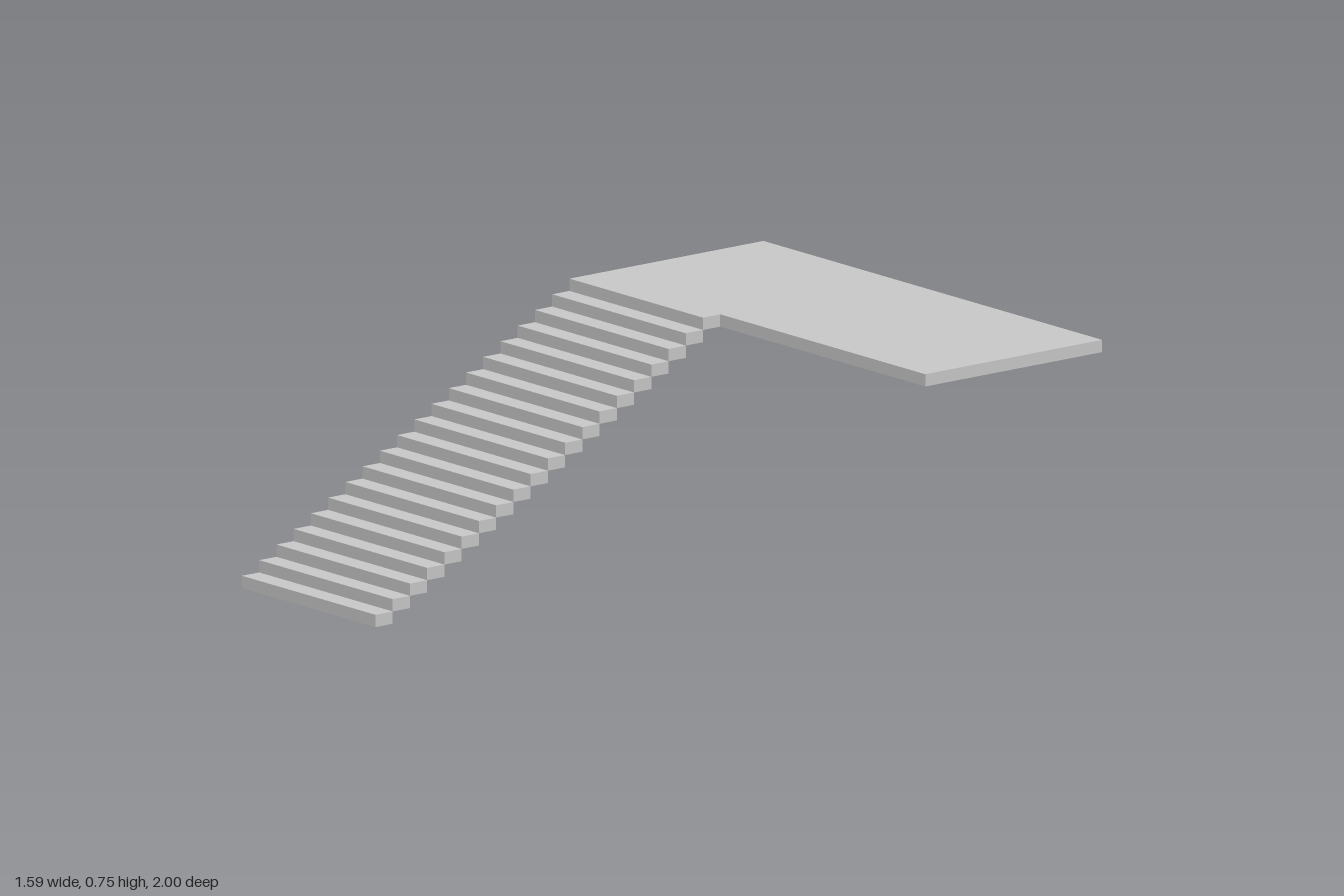
import * as THREE from 'three';

const STEPS = 19;           // separate treads below the landing
const RISE = 0.0376;        // tread thickness equals the rise
const RUN = 0.0661;
const LEFT = -0.796, RIGHT = 0.796, FLIGHT_EDGE = -0.168;

export function createModel() {
  const group = new THREE.Group();
  const material = new THREE.MeshStandardMaterial({ color: 0xcccccc, flatShading: true });

  // Flight of slab treads, climbing towards the back
  const stairs = new THREE.Group();
  stairs.name = 'stairs';
  const width = FLIGHT_EDGE - LEFT;
  const treadGeometry = new THREE.BoxGeometry(width, RISE, RUN);
  for (let i = 0; i < STEPS; i++) {
    const tread = new THREE.Mesh(treadGeometry, material);
    tread.name = `tread${i + 1}`;
    tread.position.set(LEFT + width / 2, (i + 0.5) * RISE, 1 - (i + 0.5) * RUN);
    stairs.add(tread);
  }
  group.add(stairs);

  // L-shaped landing whose short tongue forms the top step (shape y = -z)
  const tongue = STEPS * RUN - 1;
  const front = tongue + RUN;
  const outline = new THREE.Shape([
    [LEFT, tongue], [FLIGHT_EDGE, tongue], [FLIGHT_EDGE, front],
    [RIGHT, front], [RIGHT, 1], [LEFT, 1],
  ].map(([x, y]) => new THREE.Vector2(x, y)));
  const landingGeometry = new THREE.ExtrudeGeometry(outline, { depth: RISE, bevelEnabled: false });
  landingGeometry.rotateX(-Math.PI / 2);
  const landing = new THREE.Mesh(landingGeometry, material);
  landing.name = 'landing';
  landing.position.y = STEPS * RISE;
  group.add(landing);

  return group;
}
